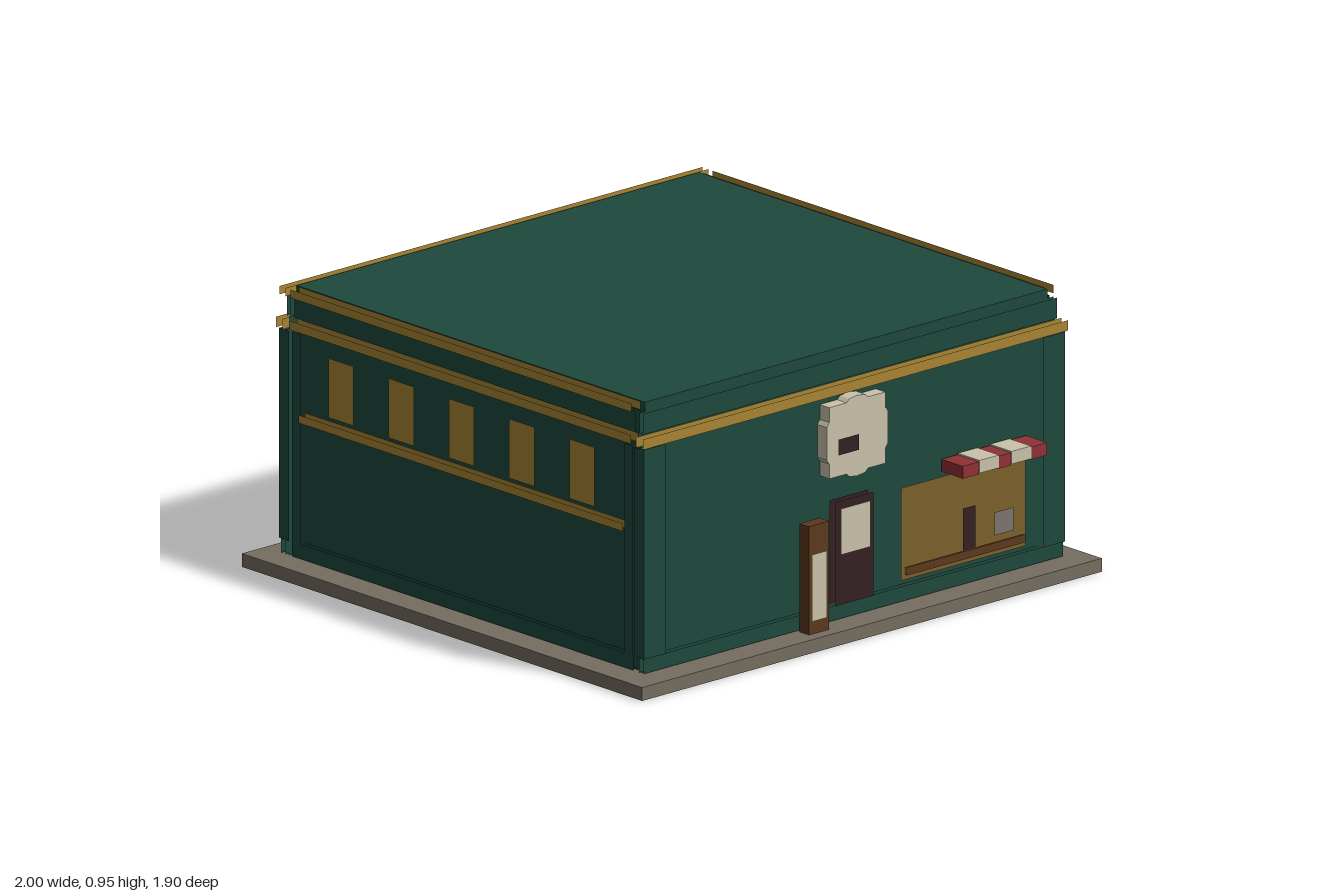
import * as THREE from 'three';

const mat = (name, color, side = THREE.FrontSide) => {
  const m = new THREE.MeshStandardMaterial({ color, side });
  m.name = name;
  return m;
};

export function createModel() {
  const D = THREE.DoubleSide;
  const green = mat('dark green paint', 0x1e483d, D);
  const gold = mat('gold trim', 0xa98533, D);
  const brass = mat('dull brass', 0x7b612b, D);
  const cream = mat('cream', 0xcac2ab, D);
  const stone = mat('stone', 0x766d60);
  const dark = mat('dark brown', 0x332022, D);
  const wood = mat('wood', 0x5b391d, D);
  const red = mat('awning red', 0x903135);
  const grey = mat('grey', 0x7c766f, D);

  const model = new THREE.Group();
  model.name = 'shop';

  const add = (name, geometry, material, parent = model) => {
    const mesh = new THREE.Mesh(geometry, material);
    mesh.name = name;
    parent.add(mesh);
    return mesh;
  };
  // Box given by its limits on each axis
  const box = (name, m, x0, x1, y0, y1, z0, z1, parent) => {
    const b = add(name, new THREE.BoxGeometry(x1 - x0, y1 - y0, z1 - z0), m, parent);
    b.position.set((x0 + x1) / 2, (y0 + y1) / 2, (z0 + z1) / 2);
  };
  // Upright sheets on one side of the building: u runs along the wall, each depth is a distance out
  const sheet = (name, m, group, u0, u1, y0, y1, ...depths) => {
    for (const d of depths) {
      const p = add(name, new THREE.PlaneGeometry(u1 - u0, y1 - y0), m, group);
      p.position.set((u0 + u1) / 2, (y0 + y1) / 2, d);
    }
  };

  // Pavement and roof
  box('pavement', stone, -1, 1, 0, 0.045, -0.95, 0.95);
  box('roof', green, -0.875, 0.875, 0.85, 0.95, -0.827, 0.827);

  // Four facades, each built facing +z and turned into place; trims have an outer and an inner skin
  const facades = [
    { name: 'front', turn: 0, half: 0.9, wall: 0.835, long: true },
    { name: 'back', turn: Math.PI, half: 0.9, wall: 0.835, long: true },
    { name: 'left', turn: Math.PI / 2, half: 0.81, wall: 0.885, long: false },
    { name: 'right', turn: -Math.PI / 2, half: 0.81, wall: 0.885, long: false },
  ];
  for (const { name, turn, half, wall, long } of facades) {
    const f = new THREE.Group();
    f.name = name + 'Facade';
    f.rotation.y = turn;
    model.add(f);
    const inner = wall + 0.004;
    sheet('wall', green, f, -half, half, 0.045, 0.85, wall);
    const plinth = long ? 0.912 : half;
    sheet('plinth', green, f, -plinth, plinth, 0.05, 0.1, wall + 0.025, inner);
    const cornice = long ? 0.925 : half;
    sheet('cornice', gold, f, -cornice, cornice, long ? 0.81 : 0.815, 0.845, wall + 0.036, inner);
    sheet('frieze', green, f, -half, half, 0.85, 0.92, long ? 0.845 : 0.9, long ? 0.829 : 0.88);
    if (name !== 'front') {
      const rim = long ? 0.92 : half;
      sheet('roofTrim', gold, f, -rim, rim, 0.922, 0.95, long ? 0.86 : 0.918, long ? 0.831 : 0.88);
      for (let i = -2; i <= 2; i++) {
        const c = i * 0.286;
        sheet('window', long ? brass : gold, f, c - 0.06, c + 0.06, 0.56, 0.76, wall + 0.03);
      }
    }
    if (!long) sheet('windowBand', gold, f, -0.77, 0.77, 0.51, 0.537, wall + 0.034, inner);
    for (const s of [-1, 1]) {
      const a = s * (long ? 0.82 : 0.77), b = s * (long ? 0.915 : 0.81);
      sheet('pilaster', green, f, Math.min(a, b), Math.max(a, b), 0.1, 0.807, wall + (long ? 0.031 : 0.026), inner);
      if (long) {
        // Outer return of the corner pilaster
        const side = add('pilasterReturn', new THREE.PlaneGeometry(0.046, 0.707), green, f);
        side.rotation.y = s * Math.PI / 2;
        side.position.set(b, 0.4535, 0.843);
      }
    }
  }

  // Door with a pale pane
  sheet('door', dark, model, -0.085, 0.082, 0.1, 0.45, 0.868, 0.84);
  sheet('doorPane', cream, model, -0.065, 0.063, 0.27, 0.425, 0.873);

  // Display window with its shelf and goods
  sheet('displayWindow', brass, model, 0.203, 0.743, 0.123, 0.435, 0.866);
  sheet('displayShelf', wood, model, 0.215, 0.732, 0.14, 0.167, 0.878, 0.87);
  sheet('displayBottle', dark, model, 0.465, 0.52, 0.167, 0.31, 0.873);
  sheet('displayCrate', grey, model, 0.602, 0.685, 0.19, 0.267, 0.873);

  // Striped awning
  const awning = new THREE.Group();
  awning.name = 'awning';
  model.add(awning);
  const edges = [0.398, 0.468, 0.553, 0.608, 0.693, 0.765];
  for (let i = 0; i < 5; i++) {
    const pale = i % 2 === 1;
    box(pale ? 'paleStripe' : 'redStripe', pale ? cream : red, edges[i], edges[i + 1],
      pale ? 0.447 : 0.443, pale ? 0.49 : 0.485, 0.845, pale ? 0.949 : 0.946, awning);
  }

  // Plaque with a stepped, bulging outline
  const quarter = [[0.133, 0.055], [0.122, 0.07], [0.122, 0.12], [0.047, 0.12], [0.035, 0.131], [0, 0.136]];
  const outline = [
    ...quarter,
    ...quarter.slice(0, -1).reverse().map(([x, y]) => [-x, y]),
    ...quarter.map(([x, y]) => [-x, -y]),
    ...quarter.slice(0, -1).reverse().map(([x, y]) => [x, -y]),
  ];
  const shape = new THREE.Shape(outline.map(([x, y]) => new THREE.Vector2(x, y)));
  add('plaque', new THREE.ExtrudeGeometry(shape, { depth: 0.055, bevelEnabled: false }), cream)
    .position.set(0, 0.66, 0.825);
  sheet('plaquePanel', dark, model, -0.085, 0.003, 0.612, 0.665, 0.884);

  // Standing notice board
  box('noticeBoard', wood, -0.235, -0.148, 0.045, 0.41, 0.862, 0.907);
  sheet('noticePanel', cream, model, -0.222, -0.162, 0.09, 0.312, 0.91);

  return model;
}
